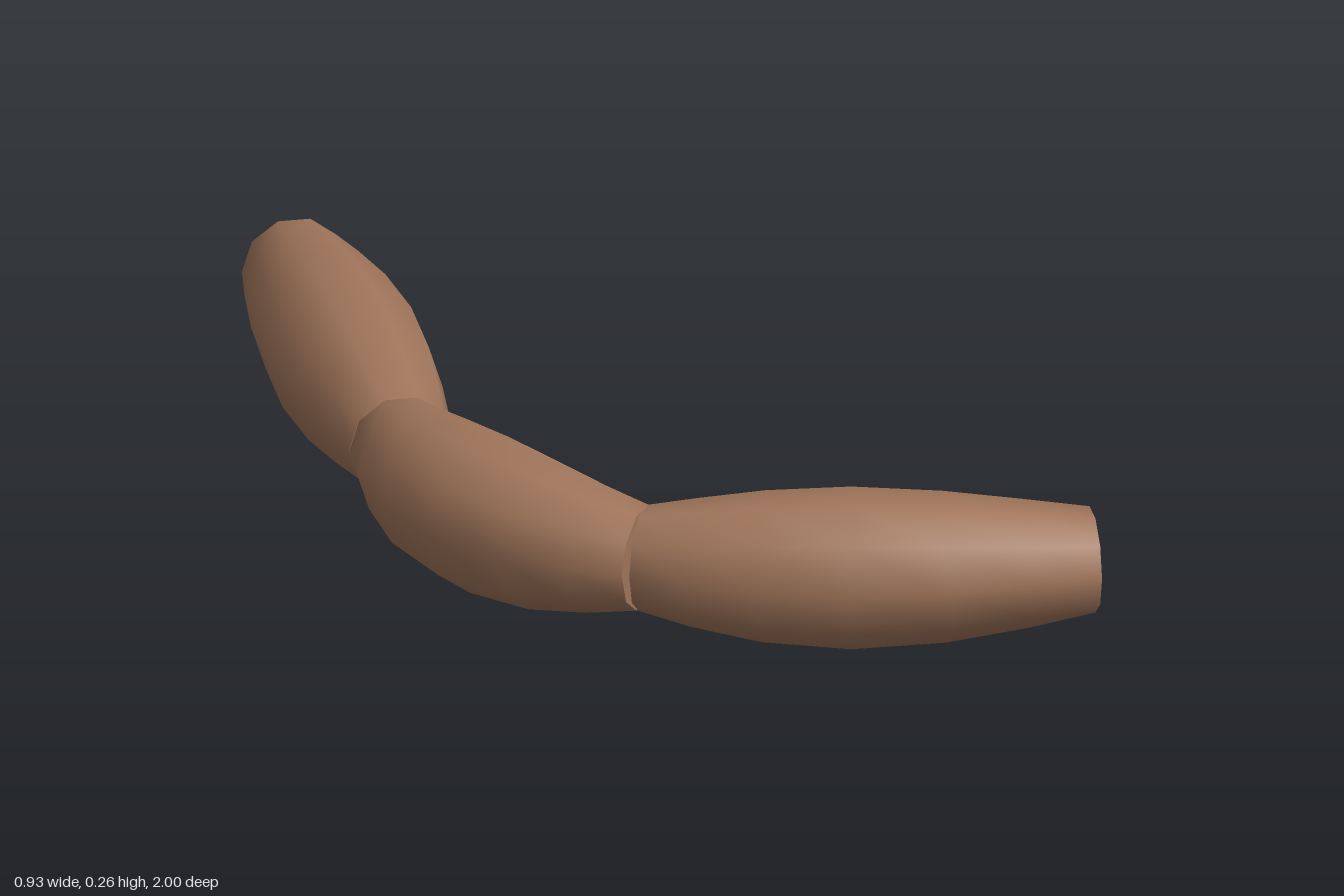
import * as THREE from 'three';
import { toCreasedNormals } from 'three/addons/utils/BufferGeometryUtils.js';

const CENTRE_Y = 0.135, END_RADIUS = 0.091, BULGE = 0.048;

// Ten-sided sausage swept along a curve, thickest halfway along
function sausage(name, [start, control, end], material) {
  const toPoint = ([x, z]) => new THREE.Vector3(x, CENTRE_Y, z);
  const curve = new THREE.QuadraticBezierCurve3(toPoint(start), toPoint(control), toPoint(end));
  const geometry = new THREE.CylinderGeometry(1, 1, 1, 10, 6);
  const position = geometry.attributes.position;
  const up = new THREE.Vector3(0, 1, 0);
  for (let i = 0; i < position.count; i++) {
    const s = position.getY(i) + 0.5;
    // Rings sit closer together towards the ends
    const t = THREE.MathUtils.clamp(s - 0.04 * Math.sin(2 * Math.PI * s), 0, 1);
    const radius = END_RADIUS + BULGE * Math.sin(Math.PI * t);
    const side = up.clone().cross(curve.getTangent(t)).normalize();
    const p = curve.getPoint(t)
      .addScaledVector(side, position.getZ(i) * radius)
      .addScaledVector(up, position.getX(i) * radius);
    position.setXYZ(i, p.x, p.y, p.z);
  }
  // Smooth around the body, sharp at the end caps
  const mesh = new THREE.Mesh(toCreasedNormals(geometry, 0.9), material);
  mesh.name = name;
  return mesh;
}

export function createModel() {
  const model = new THREE.Group();
  model.name = 'sausageChain';
  const brown = new THREE.MeshStandardMaterial({ color: 0xa0755a });
  brown.name = 'warm brown';

  // Start, control and end of each link as x, z
  const links = {
    backLink: [[0.4, -0.94], [0.12, -0.63], [-0.15, -0.32]],
    middleLink: [[-0.15, -0.32], [-0.395, -0.025], [-0.32, 0.31]],
    frontLink: [[-0.32, 0.31], [-0.2, 0.625], [0.122, 0.935]],
  };
  for (const [name, points] of Object.entries(links)) model.add(sausage(name, points, brown));
  return model;
}
